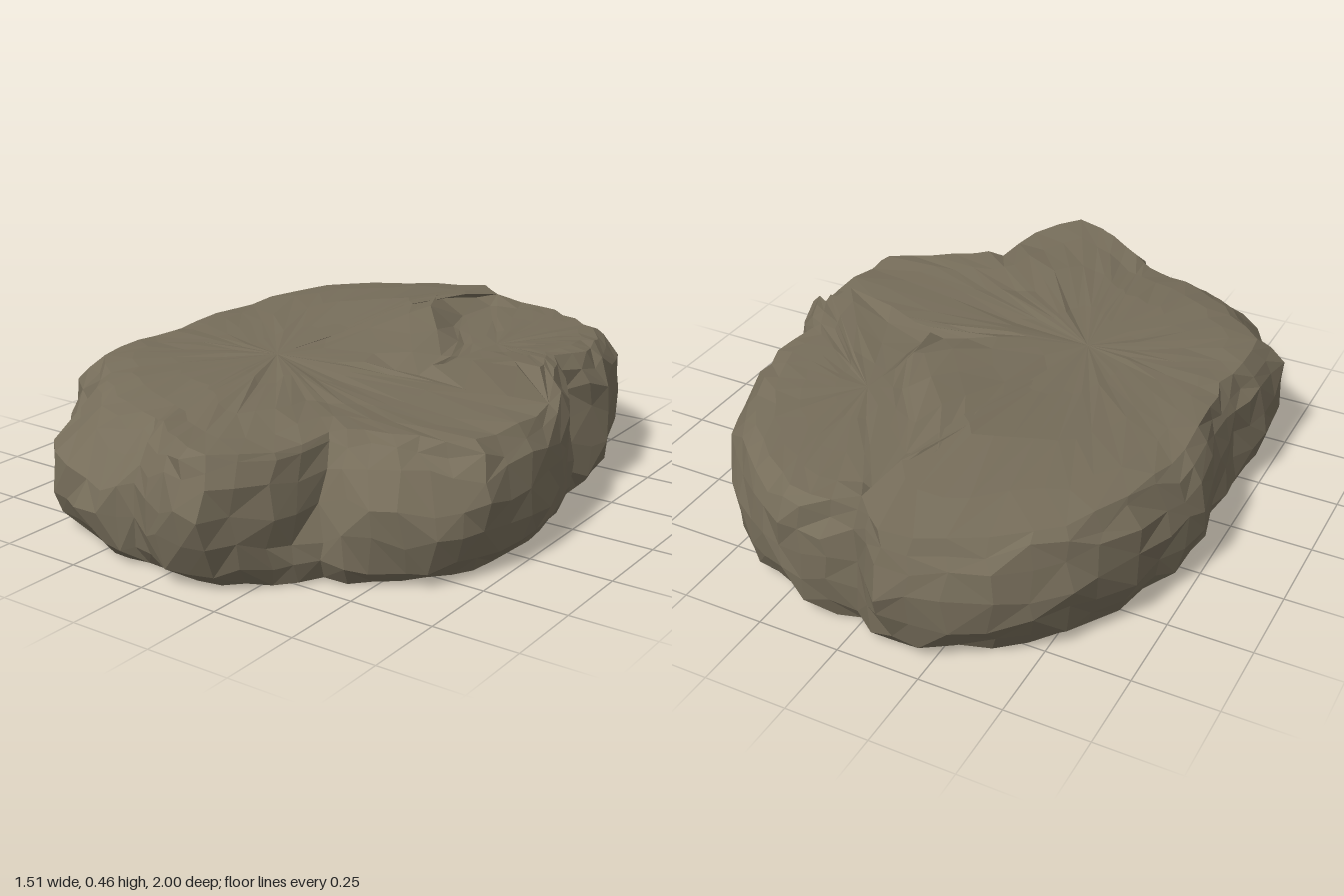
import * as THREE from 'three';

// Plan outline, clockwise from the back: x, z, inset of the top rim
const OUTLINE = [
  [-0.12, -1.0, 0.95], [0, -0.89, 0.96], [0.16, -0.94, 0.93], [0.3, -0.9, 0.92],
  [0.45, -0.81, 0.9], [0.55, -0.68, 0.91], [0.62, -0.53, 0.91], [0.67, -0.38, 0.9],
  [0.61, -0.22, 0.94], [0.7, -0.08, 0.92], [0.74, 0.05, 0.93], [0.76, 0.26, 0.92],
  [0.74, 0.46, 0.9], [0.66, 0.6, 0.82], [0.52, 0.7, 0.78], [0.37, 0.7, 0.86],
  [0.31, 0.84, 0.97], [0.2, 1.0, 0.95], [0.04, 0.97, 0.92], [-0.1, 0.92, 0.87],
  [-0.2, 0.97, 0.78], [-0.38, 0.9, 0.79], [-0.55, 0.8, 0.8], [-0.61, 0.65, 0.85],
  [-0.74, 0.5, 0.88], [-0.74, 0.3, 0.9], [-0.7, 0.15, 0.92], [-0.7, 0, 0.94],
  [-0.76, -0.25, 0.89], [-0.71, -0.42, 0.92], [-0.62, -0.66, 0.94], [-0.5, -0.82, 0.94],
  [-0.3, -0.95, 0.94],
];

// Crack between the main slab and the rear lobe: slab x, y, z then lobe x, y, z
const CRACK = [
  [-0.04, 0.405, -0.76, 0.01, 0.38, -0.77], [-0.1, 0.44, -0.6, 0.01, 0.385, -0.59],
  [-0.01, 0.455, -0.42, 0.06, 0.39, -0.45], [0.11, 0.43, -0.27, 0.17, 0.395, -0.3],
  [0.22, 0.4, -0.12, 0.25, 0.4, -0.13], [0.23, 0.375, 0.02, 0.26, 0.405, -0.01],
  [0.4, 0.37, 0.04, 0.41, 0.45, 0.01], [0.57, 0.37, 0.055, 0.57, 0.465, 0.03],
];
const CRACK_START = 2, CRACK_END = 20; // rim indices where the crack meets the edge

// Seeded noise in -1..1
const noise = (i, j, k) => {
  const s = Math.sin(i * 127.1 + j * 311.7 + k * 74.7) * 43758.5453;
  return 2 * (s - Math.floor(s)) - 1;
};
const { clamp, lerp, smoothstep } = THREE.MathUtils;
const bump = (v, centre, width) => Math.exp(-(((v - centre) / width) ** 2));

// Slab: a rise at the back, a dip near the front, and a lower shelf right of a diagonal fold
const slabHeight = (x, z) => 0.398
  + 0.057 * clamp((x + 0.65) / 0.6, 0, 1) * bump(z, -0.48, 0.31)
  - 0.02 * bump(z, 0.71, 0.1)
  - 0.02 * smoothstep(0.857 * (x - 0.07) + 0.515 * (z - 0.12), -0.03, 0.05)
    * smoothstep(z, -0.3, 0) * (1 - smoothstep(z, 0.35, 0.6));
// Lobe: tilts up towards its front edge
const lobeHeight = (x, z) => 0.385 + 0.078 * bump(x, 0.56, 0.2) * clamp((z + 0.85) / 0.85, 0, 1);

// Skin between successive rows of points, with varied diagonals
function skin(rows, closed) {
  const out = [];
  const tri = (...pts) => pts.forEach((p) => out.push(p.x, p.y, p.z));
  for (let r = 0; r + 1 < rows.length; r++) {
    const n = rows[r].length;
    for (let i = 0; i < (closed ? n : n - 1); i++) {
      const j = (i + 1) % n;
      const a = rows[r][i], b = rows[r][j], c = rows[r + 1][j], d = rows[r + 1][i];
      if (c === d) tri(a, d, b);
      else if (noise(i, r, 9) > 0) { tri(a, d, c); tri(a, c, b); }
      else { tri(a, d, b); tri(b, d, c); }
    }
  }
  const geo = new THREE.BufferGeometry();
  geo.setAttribute('position', new THREE.Float32BufferAttribute(out, 3));
  geo.computeVertexNormals();
  return geo;
}

// Faceted top running from a loop of points to its centre, following a height rule
function cap(loop, cx, cz, height) {
  const centre = new THREE.Vector3(cx, height(cx, cz), cz);
  const rings = [0.16, 0.4, 0.7].map((t, r) => loop.map((p, i) => {
    const q = p.clone().lerp(centre, t + 0.02 * noise(i, r, 1));
    q.y = height(q.x, q.z) + 0.003 * noise(i, r, 2);
    return q;
  }));
  return skin([loop, ...rings, loop.map(() => centre)], true);
}

export function createModel() {
  const group = new THREE.Group();
  const stone = new THREE.MeshStandardMaterial({ color: 0x766d5a, side: THREE.DoubleSide, flatShading: true });
  stone.name = 'stone';
  const add = (name, geo) => {
    const mesh = new THREE.Mesh(geo, stone);
    mesh.name = name;
    group.add(mesh);
  };

  // Outline with a midpoint added on each side, and a smoothed copy for the foot
  const plan = OUTLINE.flatMap((p, i) => {
    const q = OUTLINE[(i + 1) % OUTLINE.length];
    return [p, p.map((v, k) => (v + q[k]) / 2 * (k < 2 ? 1.01 : 1))];
  });
  const foot = plan.map((p, i) => p.map((_, k) => [-4, -2, 0, 2, 4].reduce(
    (sum, d) => sum + plan[(i + d + plan.length) % plan.length][k] / 5, 0) * 1.02));

  // Rough side wall, open underneath: height fraction, scale, smoothing, roughness
  const levels = [[0, 0.935, 0.6, 0.01], [0.15, 0.985, 0.45, 0.015], [0.36, 1.003, 0.15, 0.015],
    [0.58, 1.003, 0, 0.015], [0.78, 1.003, 0, 0.015], [0.91, 0.997, 0, 0.012], [1, 0.995, 0, 0.008]];
  const rings = levels.map(([f, scale, smooth, rough], r) => plan.map(([px, pz, inset], i) => {
    const edge = r === 0 || r === levels.length - 1;
    const x = lerp(px, foot[i][0], smooth), z = lerp(pz, foot[i][1], smooth);
    // strongly inset stretches slope gently, the rest stay upright to a rounded shoulder
    const share = Math.max(0, (f - 0.5) / 0.5) ** (inset < 0.87 ? 1.3 : 3);
    const s = scale * (1 - (1 - inset) * share) - rough * (1 + noise(i, r, 3));
    const height = i > CRACK_START && i < CRACK_END ? lobeHeight : slabHeight;
    const top = height(px * inset, pz * inset) - 0.006 + 0.007 * noise(i, 0, 4);
    const y = r === 0 ? 0.006 + 0.006 * noise(i, r, 5) : f * top + (edge ? 0 : 0.018 * noise(i, r, 5));
    const slide = (edge ? 0.005 : 0.014) * noise(i, r, 6);
    const len = Math.hypot(x, z);
    return new THREE.Vector3(x * s - z / len * slide, Math.min(y, top), z * s + x / len * slide);
  }));
  add('rockWall', skin(rings, true));

  // Two top surfaces meeting along the crack
  const rim = rings[rings.length - 1];
  const slabEdge = CRACK.map(([x, y, z]) => new THREE.Vector3(x, y, z));
  const lobeEdge = CRACK.map(([, , , x, y, z]) => new THREE.Vector3(x, y, z));
  const slabRim = [...rim.slice(CRACK_END), ...rim.slice(0, CRACK_START + 1)];
  const lobeRim = rim.slice(CRACK_START, CRACK_END + 1);
  add('mainTop', cap([...slabRim, ...slabEdge], -0.2, 0.15, slabHeight));
  add('rearLobeTop', cap([...lobeRim, ...[...lobeEdge].reverse()], 0.28, -0.35, lobeHeight));

  // Small step joining the two tops
  const ends = (edge) => [rim[CRACK_START], ...edge, rim[CRACK_END]];
  add('crackStep', skin([ends(lobeEdge), ends(slabEdge)], false));
  return group;
}
